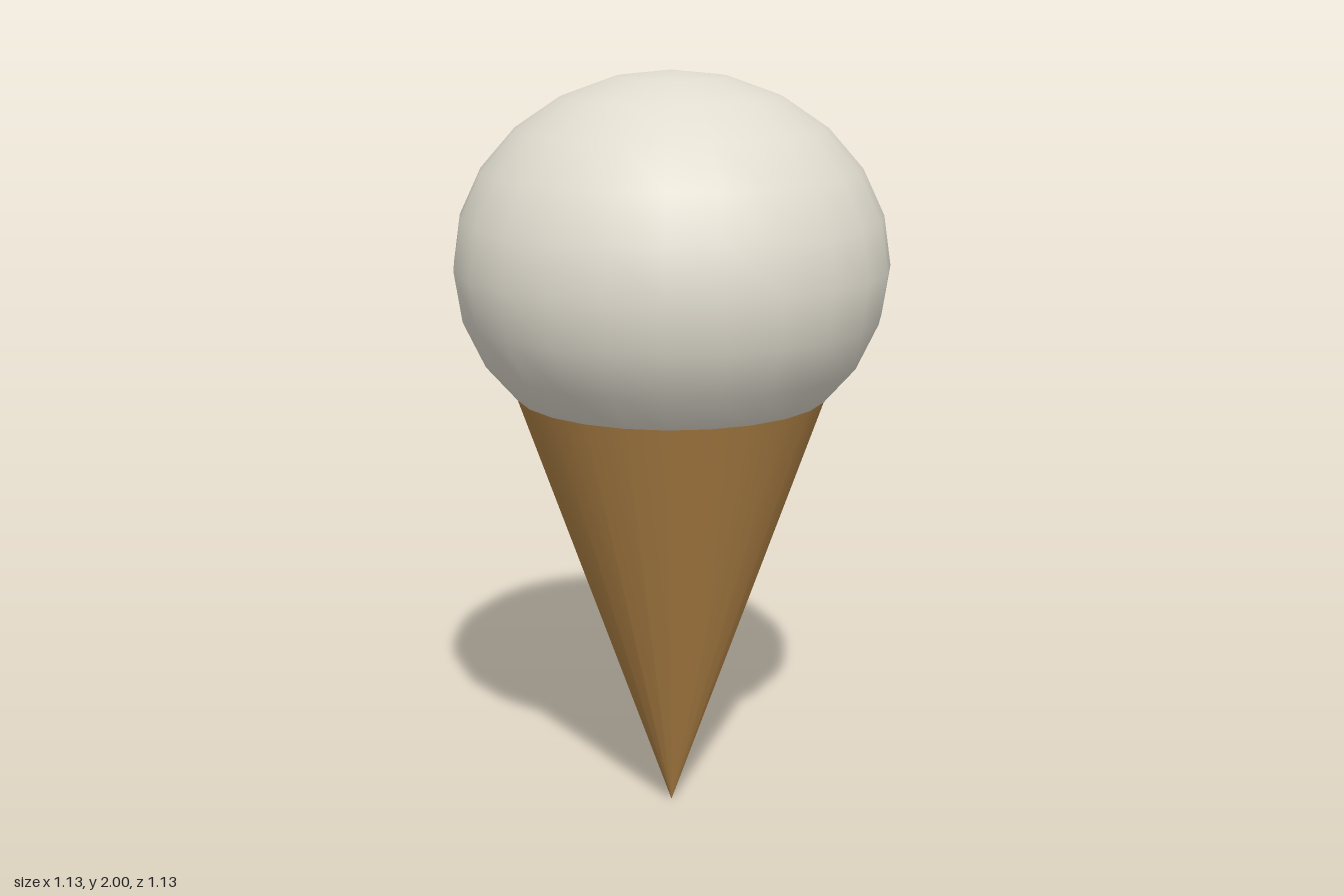
import * as THREE from 'three';

const SIDES = 24;

export function createModel() {
  const model = new THREE.Group();
  model.name = 'iceCreamCone';

  const cream = new THREE.MeshStandardMaterial({ color: 0xe0dccf });
  cream.name = 'vanilla cream';
  const wafer = new THREE.MeshStandardMaterial({ color: 0xb08246 });
  wafer.name = 'wafer brown';

  // Cone with its tip on the ground
  const coneHeight = 1.175;
  const coneGeometry = new THREE.ConeGeometry(0.412, coneHeight, SIDES);
  coneGeometry.rotateX(Math.PI);
  const cone = new THREE.Mesh(coneGeometry, wafer);
  cone.name = 'cone';
  cone.position.y = coneHeight / 2;
  model.add(cone);

  // Slightly flattened scoop sunk into the cone's rim
  const scoopGeometry = new THREE.SphereGeometry(1, SIDES, SIDES / 2);
  scoopGeometry.scale(0.565, 0.495, 0.565);
  const scoop = new THREE.Mesh(scoopGeometry, cream);
  scoop.name = 'scoop';
  scoop.position.y = 1.505;
  model.add(scoop);

  return model;
}
